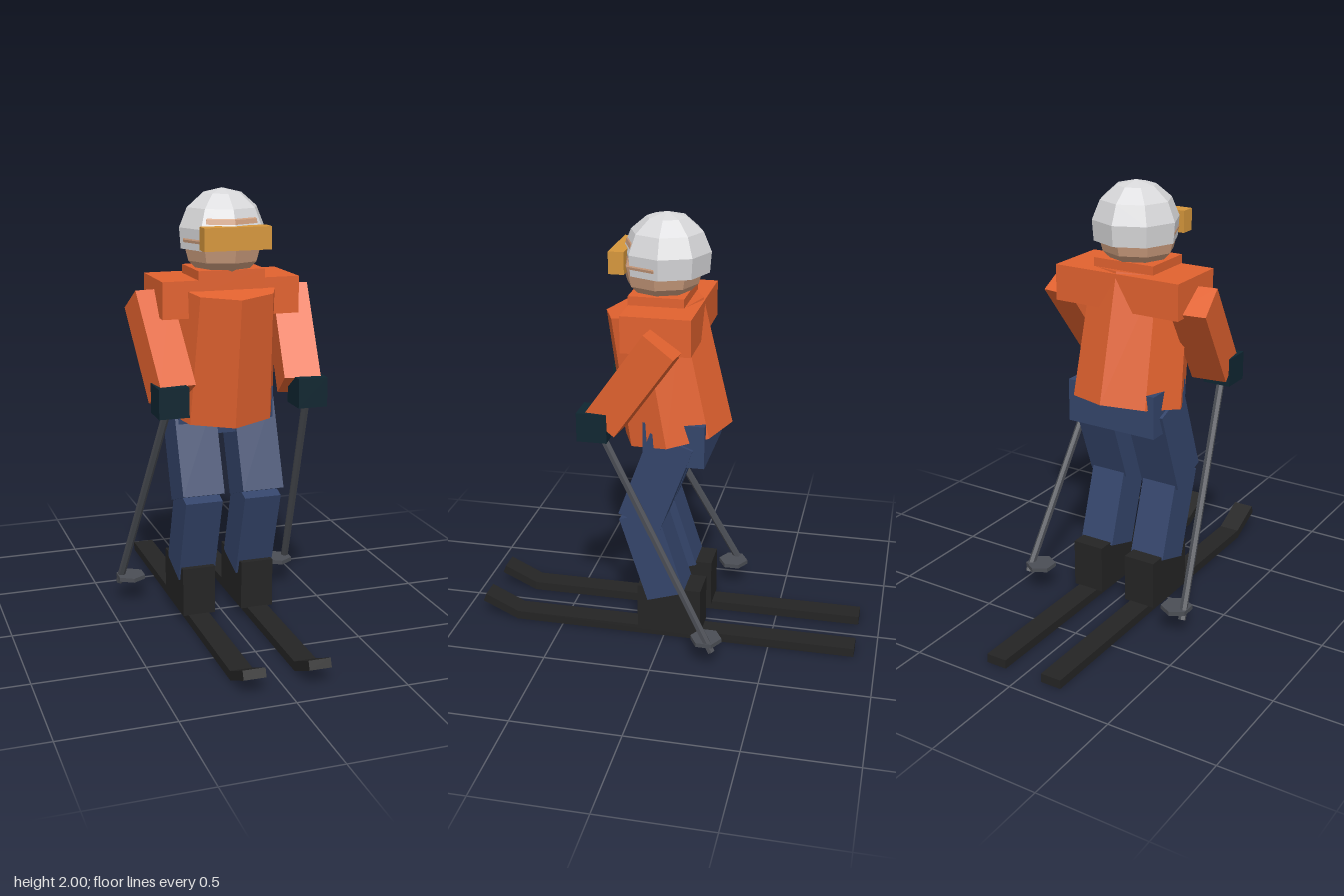
import * as THREE from 'three';

const material = (name, color) => {
  const m = new THREE.MeshStandardMaterial({ color, flatShading: true });
  m.name = name;
  return m;
};

export function createModel() {
  const orange = material('jacketOrange', 0xe2622f);
  const navy = material('trouserNavy', 0x34456b);
  const black = material('skiBlack', 0x242424);
  const teal = material('gloveTeal', 0x0f2631);
  const white = material('helmetGrey', 0xd8d8da);
  const amber = material('goggleAmber', 0xd6973c);
  const skin = material('skin', 0xd0a080);
  const grey = material('poleGrey', 0x4b4e55);
  const model = new THREE.Group();
  model.name = 'skier';

  function add(name, geometry, mat, x = 0, y = 0, z = 0) {
    const mesh = new THREE.Mesh(geometry, mat);
    mesh.name = name;
    mesh.position.set(x, y, z);
    model.add(mesh);
    return mesh;
  }
  const box = (name, mat, size, pos) => add(name, new THREE.BoxGeometry(...size), mat, ...pos);

  // Geometry whose y axis runs from a to b, with its x axis kept level
  function limb(name, mat, a, b, makeGeometry) {
    const from = new THREE.Vector3(...a), to = new THREE.Vector3(...b);
    const up = to.clone().sub(from);
    const mesh = add(name, makeGeometry(up.length()), mat);
    up.normalize();
    const right = new THREE.Vector3(1, 0, 0);
    if (Math.abs(up.z) > 0.001) {
      right.set(-up.z, 0, up.x).normalize();
      if (right.x < 0) right.negate();
    }
    const depth = new THREE.Vector3().crossVectors(right, up);
    mesh.quaternion.setFromRotationMatrix(new THREE.Matrix4().makeBasis(right, up, depth));
    mesh.position.copy(from).add(to).multiplyScalar(0.5);
  }
  const bar = (w, d) => (length) => new THREE.BoxGeometry(w, length, d);

  // Hips, leaning jacket, shoulders and collar
  box('hips', navy, [0.45, 0.2, 0.28], [0, 1.0, -0.053]);
  limb('jacketBody', orange, [0, 1.0, -0.03], [0, 1.583, 0.08], (length) =>
    new THREE.CylinderGeometry(0.225, 0.255, length, 8).scale(1.05, 1, 1));
  box('shoulders', orange, [0.63, 0.165, 0.31], [0, 1.532, 0.007]);
  box('collar', orange, [0.305, 0.1, 0.25], [0, 1.605, 0.04]);

  // Head, helmet shell and goggles
  add('head', new THREE.SphereGeometry(0.187, 8, 6), skin, 0, 1.78, 0.043);
  const shell = white.clone();
  shell.side = THREE.DoubleSide;
  add('helmet', new THREE.SphereGeometry(0.2, 8, 4, 0, Math.PI * 2, 0, Math.PI * 0.6), shell, 0, 1.8, 0.022);
  box('goggles', amber, [0.305, 0.1, 0.07], [0, 1.798, 0.215]);

  // Ski side profile with an upturned tip
  const profile = new THREE.Shape([
    [-0.9, 0], [0.73, 0], [0.9, 0.08], [0.885, 0.118], [0.725, 0.042], [-0.9, 0.042],
  ].map(([z, y]) => new THREE.Vector2(z, y)));
  const skiGeometry = new THREE.ExtrudeGeometry(profile, { depth: 0.1, bevelEnabled: false });
  skiGeometry.translate(0, 0, -0.05).rotateY(-Math.PI / 2);

  for (const [side, s] of [['left', 1], ['right', -1]]) {
    // Ski, boot and bent leg
    add(side + 'Ski', skiGeometry, black, s * 0.145);
    box(side + 'Boot', black, [0.155, 0.23, 0.3], [s * 0.142, 0.155, -0.03]);
    limb(side + 'Shin', navy, [s * 0.14, 0.23, -0.018], [s * 0.14, 0.64, 0.112], bar(0.173, 0.186));
    limb(side + 'Thigh', navy, [s * 0.142, 0.612, 0.105], [s * 0.142, 1.022, -0.047], bar(0.195, 0.205));

    // Arm and glove
    limb(side + 'Arm', orange, [s * 0.295, 1.135, 0.232], [s * 0.33, 1.517, -0.038], bar(0.165, 0.165));
    box(side + 'Glove', teal, [0.135, 0.132, 0.135], [s * 0.318, 1.12, 0.277]);

    // Pole and hexagonal basket
    limb(side + 'Pole', grey, [s * 0.428, 0.09, -0.272], [s * 0.318, 1.12, 0.275],
      (length) => new THREE.CylinderGeometry(0.018, 0.018, length, 6));
    add(side + 'PoleBasket', new THREE.CylinderGeometry(0.072, 0.072, 0.02, 6), grey, s * 0.38, 0.125, -0.238);
  }
  return model;
}
